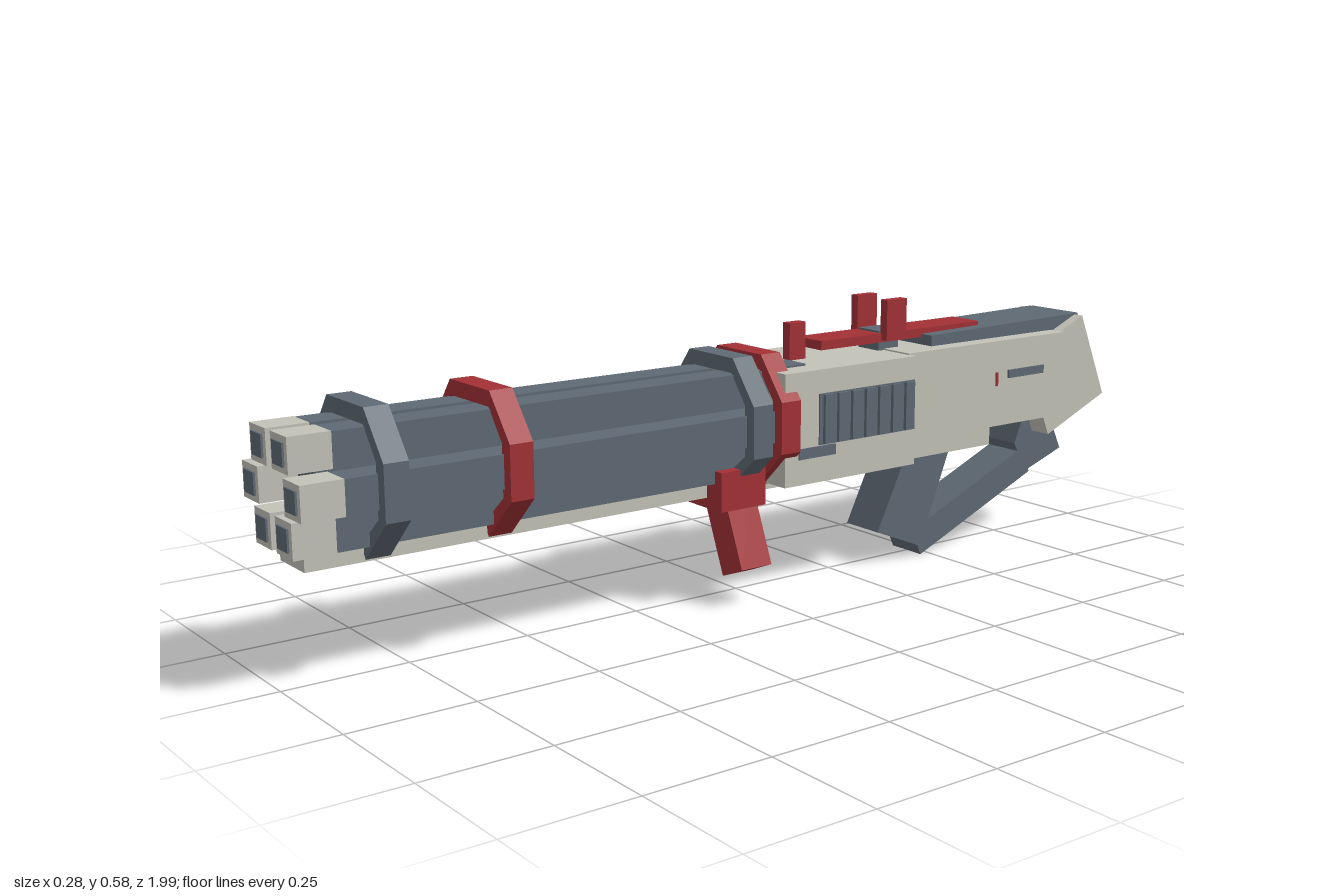
import * as THREE from 'three';

const mat = (name, color) => {
  const m = new THREE.MeshStandardMaterial({ color, flatShading: true });
  m.name = name;
  return m;
};

export function createModel() {
  const root = new THREE.Group();
  const light = mat('pale grey', 0xc4c2b8);
  const dark = mat('slate', 0x5f6a74);
  const red = mat('red', 0xa33135);

  const add = (name, geometry, material) => {
    const mesh = new THREE.Mesh(geometry, material);
    mesh.name = name;
    root.add(mesh);
    return mesh;
  };
  // Box given by its extents on each axis
  const box = (name, material, x0, x1, y0, y1, z0, z1) => {
    const mesh = add(name, new THREE.BoxGeometry(x1 - x0, y1 - y0, z1 - z0), material);
    mesh.position.set((x0 + x1) / 2, (y0 + y1) / 2, (z0 + z1) / 2);
    return mesh;
  };
  const pair = (name, material, x0, x1, ...rest) => {
    box(name, material, x0, x1, ...rest);
    box(name, material, -x1, -x0, ...rest);
  };
  const shapeOf = (pts) => new THREE.Shape(pts.map(([a, b]) => new THREE.Vector2(a, b)));
  // Side profile of [z, y] points, extruded across x
  const sideProfile = (name, material, pts, halfWidth) => {
    const g = new THREE.ExtrudeGeometry(shapeOf(pts), { depth: halfWidth * 2, bevelEnabled: false });
    g.translate(0, 0, -halfWidth).rotateY(-Math.PI / 2);
    return add(name, g, material);
  };

  // Six square barrels around a core
  const rows = [[0.0435, 0.435], [0.086, 0.36], [0.0435, 0.286]];
  for (const [bx, y] of rows) {
    for (const x of [bx, -bx]) {
      box('barrel', dark, x - 0.032, x + 0.032, y - 0.032, y + 0.032, -0.03, 0.92);
      box('muzzle', light, x - 0.033, x + 0.033, y - 0.033, y + 0.033, 0.915, 0.996);
      box('bore', dark, x - 0.021, x + 0.021, y - 0.021, y + 0.021, 0.994, 1.0);
    }
  }
  box('barrelCore', dark, -0.036, 0.036, 0.325, 0.396, -0.03, 0.93);
  box('lowerCore', dark, -0.0105, 0.0105, 0.25, 0.33, -0.03, 0.9);
  box('underRail', light, -0.05, 0.05, 0.221, 0.246, -0.03, 0.965);

  // Octagonal clamps, open at the bottom
  const half = [[0.055, 0.226], [0.14, 0.308], [0.14, 0.413], [0.072, 0.5]];
  const inner = [[0.068, 0.47], [0.112, 0.412], [0.112, 0.31], [0.04, 0.25]];
  const mirror = (pts) => pts.map(([x, y]) => [-x, y]).reverse();
  const clampShape = shapeOf([...half, ...mirror(half), ...mirror(inner), ...inner]);
  for (const [z, m] of [[0.805, dark], [0.56, red], [0.015, dark], [-0.055, red]]) {
    const g = new THREE.ExtrudeGeometry(clampShape, { depth: 0.048, bevelEnabled: false });
    add('clamp', g, m).position.z = z;
  }

  // Receiver
  box('frontBody', light, -0.128, 0.128, 0.235, 0.466, -0.375, -0.025);
  box('rearBody', light, -0.11, 0.11, 0.28, 0.469, -0.84, -0.37);
  box('lowerBody', light, -0.08, 0.08, 0.232, 0.285, -0.645, -0.37);
  box('bellyPlate', light, -0.06, 0.06, 0.219, 0.24, -0.1, 0.0);
  pair('topInset', dark, 0.015, 0.075, 0.464, 0.47, -0.12, -0.035);

  // Side vents with upright ribs
  pair('ventPanel', dark, 0.126, 0.131, 0.312, 0.417, -0.37, -0.112);
  for (let i = 0; i < 7; i++) {
    const z = -0.352 + i * 0.0365;
    pair('ventRib', dark, 0.129, 0.138, 0.314, 0.415, z - 0.012, z + 0.012);
  }
  pair('lowerCatch', dark, 0.126, 0.131, 0.288, 0.31, -0.155, -0.06);
  pair('sideSlot', dark, 0.108, 0.114, 0.384, 0.402, -0.775, -0.665);
  pair('indicator', red, 0.108, 0.113, 0.37, 0.4, -0.634, -0.628);

  // Tilted butt block with a dark pad on its upper rear edge
  const butt = new THREE.Group();
  butt.name = 'butt';
  butt.position.set(0, 0.366, -0.866);
  butt.rotation.x = 0.4;
  const block = new THREE.Mesh(new THREE.BoxGeometry(0.19, 0.204, 0.192), light);
  block.name = 'buttBlock';
  const pad = new THREE.Mesh(new THREE.BoxGeometry(0.14, 0.042, 0.025), dark);
  pad.name = 'buttPad';
  pad.position.set(0, 0.079, -0.095);
  butt.add(block, pad);
  root.add(butt);

  // Top cover, sight rail and sights
  sideProfile('topCover', dark, [[-0.92, 0.46], [-0.47, 0.46], [-0.47, 0.492], [-0.92, 0.5]], 0.072);
  box('sightRail', red, -0.04, 0.04, 0.485, 0.504, -0.64, -0.19);
  box('sightBlock', dark, -0.032, 0.032, 0.46, 0.508, -0.41, -0.355);
  pair('rearSightPost', red, 0.037, 0.057, 0.49, 0.576, -0.41, -0.355);
  box('frontSightPost', red, -0.011, 0.011, 0.46, 0.543, -0.172, -0.13);

  // Cheek block on the right side with a dark outer face
  box('cheekBlock', light, -0.134, -0.105, 0.26, 0.41, -0.69, -0.472);
  box('cheekPlate', dark, -0.139, -0.133, 0.26, 0.41, -0.69, -0.472);

  // Forward grip, angled to the left
  box('gripBracket', red, -0.098, 0.098, 0.2, 0.28, 0.0, 0.075);
  box('gripBracketNose', red, -0.098, 0.098, 0.2, 0.28, 0.07, 0.11);
  const handle = box('forwardGrip', red, -0.034, 0.034, -0.085, 0.085, 0.0, 0.075);
  handle.position.set(0.055, 0.146, 0.038);
  handle.rotation.z = 0.39;

  // Rear grip and the brace behind it
  sideProfile('rearGrip', dark, [[-0.345, 0.073], [-0.47, 0.022], [-0.56, 0.25], [-0.432, 0.25]], 0.05);
  sideProfile('lowerBrace', dark, [[-0.452, 0.058], [-0.478, 0.0], [-0.812, 0.14], [-0.785, 0.198]], 0.045);
  sideProfile('rearBrace', dark, [[-0.762, 0.212], [-0.8, 0.143], [-0.912, 0.182], [-0.855, 0.3], [-0.79, 0.28]], 0.045);

  return root;
}
